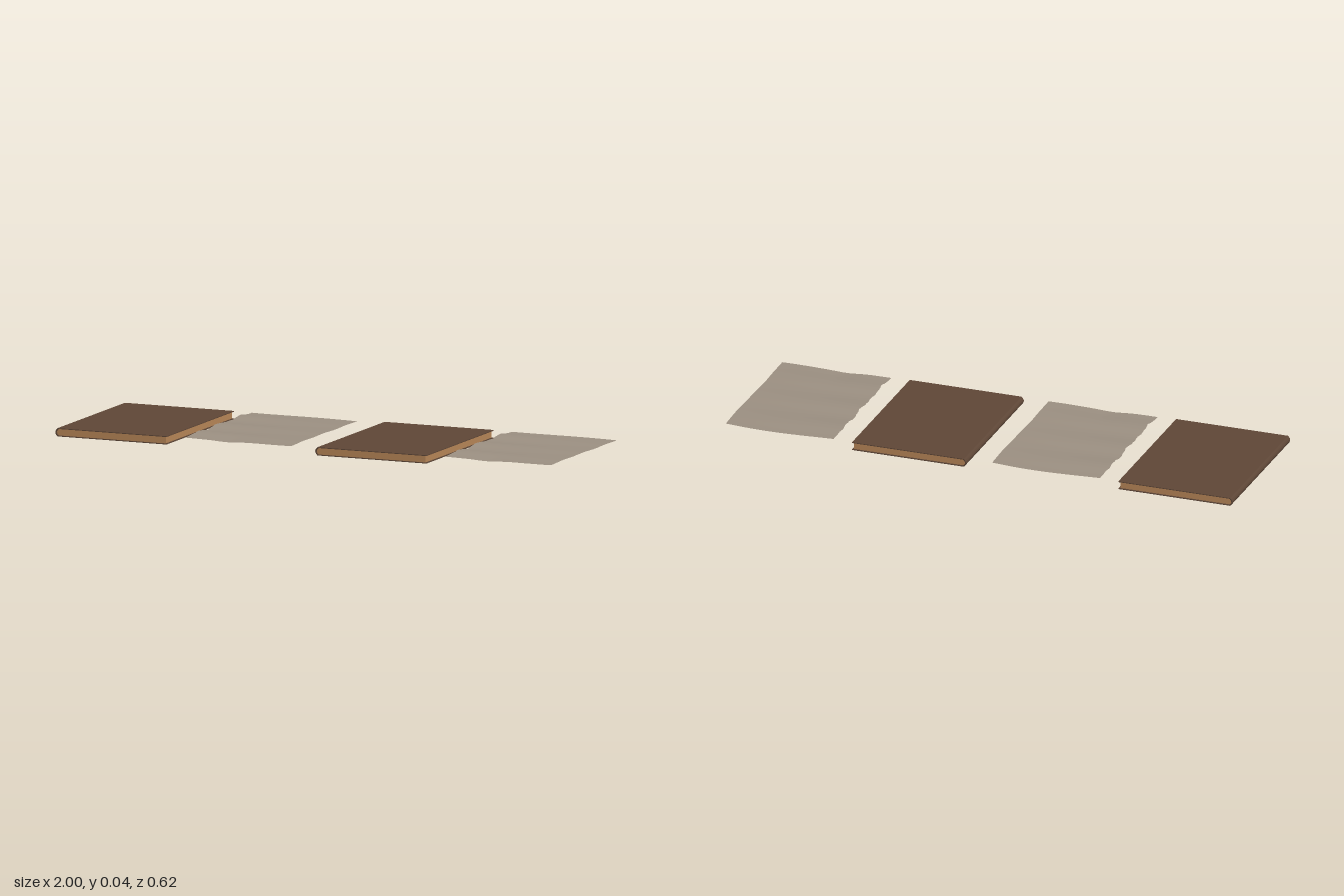
import * as THREE from 'three';

const cover = new THREE.MeshStandardMaterial({ color: 0x5f4737 });
cover.name = 'brownCover';
const paper = new THREE.MeshStandardMaterial({ color: 0xb98758 });
paper.name = 'tanPageEdges';
const parchment = new THREE.MeshStandardMaterial({ color: 0x9c9082, side: THREE.DoubleSide });
parchment.name = 'greyParchment';

const W = 0.45, H = 0.031, D = 0.612, T = 0.003, OVERHANG = 0.006;

// Extrude an x-y profile along z, centred on z = 0
function extrudeZ(shape, depth, material, name) {
  const g = new THREE.ExtrudeGeometry(shape, { depth, bevelEnabled: false, curveSegments: 6 });
  g.translate(0, 0, -depth / 2);
  const mesh = new THREE.Mesh(g, material);
  mesh.name = name;
  return mesh;
}

// Closed book lying flat, spine toward -x
function makeBook(name) {
  const book = new THREE.Group();
  book.name = name;

  // Two boards joined by a slightly rounded spine
  const c = new THREE.Shape();
  c.moveTo(W, 0);
  c.lineTo(W, T);
  c.lineTo(0.012, T);
  c.quadraticCurveTo(-0.003, H / 2, 0.012, H - T);
  c.lineTo(W, H - T);
  c.lineTo(W, H);
  c.lineTo(0.009, H);
  c.quadraticCurveTo(-0.009, H / 2, 0.009, 0);
  c.closePath();
  book.add(extrudeZ(c, D, cover, 'cover'));

  // Page block, set back from the three open edges
  const p = new THREE.Shape();
  p.moveTo(0.012, T);
  p.lineTo(W - OVERHANG, T);
  p.lineTo(W - OVERHANG, H - T);
  p.lineTo(0.012, H - T);
  p.quadraticCurveTo(-0.003, H / 2, 0.012, T);
  book.add(extrudeZ(p, D - 2 * OVERHANG, paper, 'pageBlock'));
  return book;
}

// Loose sheet with a torn left edge and gentle waves
function makeSheet(name) {
  const w = 0.427, d = 0.6;
  const g = new THREE.PlaneGeometry(w, d, 16, 28);
  g.rotateX(-Math.PI / 2);
  const pos = g.attributes.position;
  for (let i = 0; i < pos.count; i++) {
    const x = pos.getX(i), z = pos.getZ(i);
    const u = THREE.MathUtils.clamp(x / w + 0.5, 0, 1);
    const v = THREE.MathUtils.clamp(z / d + 0.5, 0, 1);
    const left = (1 - u) ** 3, back = (1 - v) ** 3;
    const torn = 0.003 * Math.sin(v * 31) + 0.002 * Math.sin(v * 67 + 1);
    const bow = 0.012 * Math.sin(Math.PI * u ** 1.3);
    // Height ripples strongest along the torn edge
    const ripple = 0.0035 * Math.cos(z * 33) * (0.25 + 0.75 * (1 - u));
    const curl = 0.003 * left - 0.002 * u;
    const dip = -0.004 * Math.exp(-(((u - 0.4) / 0.12) ** 2)) * v ** 10;
    pos.setXYZ(i,
      x + left * torn + 0.002 * Math.sin(v * 7) * u,
      0.0305 + ripple + curl + dip,
      z - back * bow + 0.002 * Math.sin(u * 9) * v);
  }
  g.computeVertexNormals();
  const sheet = new THREE.Mesh(g, parchment);
  sheet.name = name;
  return sheet;
}

export function createModel() {
  const model = new THREE.Group();
  model.name = 'booksAndSheets';
  // Two matching pairs of a book and a loose sheet
  [[-1, 0.003], [0.048, -0.004]].forEach(([x, z], i) => {
    const book = makeBook('book' + (i + 1));
    book.position.set(x, 0, z);
    const sheet = makeSheet('looseSheet' + (i + 1));
    sheet.position.set(x + 0.7365, 0, z);
    model.add(book, sheet);
  });
  return model;
}
